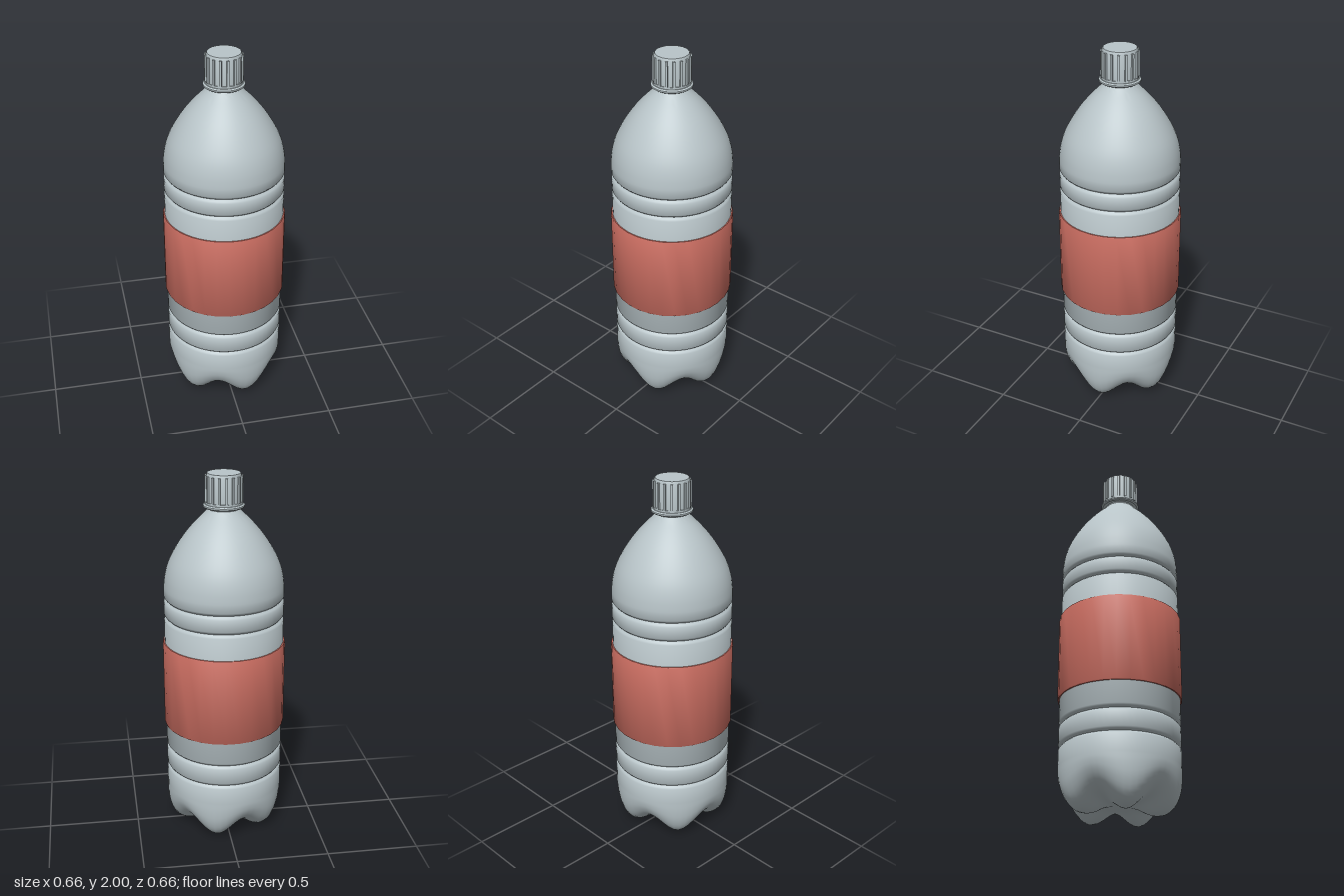
import * as THREE from 'three';
import { toCreasedNormals } from 'three/addons/utils/BufferGeometryUtils.js';

const plastic = new THREE.MeshStandardMaterial({ color: 0xb9c5c9 });
plastic.name = 'clear grey plastic';
const red = new THREE.MeshStandardMaterial({ color: 0xc86c60 });
red.name = 'red label';

const pts = (list) => list.map(([r, y]) => new THREE.Vector2(r, y));
const curve = (list, n) => new THREE.SplineCurve(pts(list)).getPoints(n);

function mesh(name, geometry, material) {
  const m = new THREE.Mesh(geometry, material);
  m.name = name;
  return m;
}

// Lathe with one vertex column on +x and sharp edges where the profile turns hard
function turned(name, profile, sides, material) {
  const g = new THREE.LatheGeometry(profile, sides, Math.PI / 2);
  return mesh(name, toCreasedNormals(g, 0.6), material);
}

// Five-footed base blended into a grooved cylinder and a domed shoulder
function bottleBody() {
  const R = 0.32, steps = 26, sides = 60;
  const foot = curve([[0, 0.06], [0.08, 0.045], [0.14, 0.014], [0.19, 0.002], [0.24, 0.012],
    [0.285, 0.055], [0.311, 0.12], [R, 0.19], [R, 0.25]], steps);
  const valley = curve([[0, 0.06], [0.07, 0.055], [0.13, 0.055], [0.19, 0.072], [0.24, 0.098],
    [0.28, 0.135], [0.307, 0.18], [0.318, 0.22], [R, 0.25]], steps);

  const wall = [];
  for (const y of [0.36, 0.48, 1.235, 1.335]) {
    wall.push([R, y - 0.018], [0.314, y - 0.009], [0.304, y], [0.314, y + 0.009], [R, y + 0.018]);
  }
  const shoulder = curve([[R, 1.4], [0.313, 1.46], [0.293, 1.53], [0.255, 1.605], [0.205, 1.68],
    [0.15, 1.745], [0.105, 1.79], [0.082, 1.815]], 20);
  const profile = [...foot, ...pts(wall), ...shoulder, new THREE.Vector2(0.08, 1.86)];

  const g = new THREE.LatheGeometry(profile, sides, Math.PI / 2);
  const p = g.attributes.position;
  for (let i = 0; i <= sides; i++) {
    const a = (i / sides) * Math.PI * 2;
    const w = 0.5 + 0.5 * Math.cos(5 * a);
    for (let j = 0; j <= steps; j++) {
      const q = valley[j].clone().lerp(foot[j], w);
      p.setXYZ(i * profile.length + j, q.x * Math.cos(a), q.y, -q.x * Math.sin(a));
    }
  }
  return mesh('bottleBody', toCreasedNormals(g, 0.6), plastic);
}

// Screw cap with a bevelled top and sixteen grip ribs
function screwCap() {
  const cap = new THREE.Group();
  cap.name = 'screwCap';
  cap.add(turned('capShell', pts([[0, 1.85], [0.092, 1.85], [0.092, 1.985],
    [0.086, 2], [0, 2]]), 24, plastic));
  const ribShape = new THREE.BoxGeometry(0.012, 0.135, 0.01);
  for (let i = 0; i < 16; i++) {
    const a = (i / 16) * Math.PI * 2;
    const rib = mesh('capRib', ribShape, plastic);
    rib.position.set(Math.sin(a) * 0.0945, 1.92, Math.cos(a) * 0.0945);
    rib.rotation.y = a;
    cap.add(rib);
  }
  return cap;
}

export function createModel() {
  const bottle = new THREE.Group();
  bottle.name = 'bottle';
  bottle.add(bottleBody());

  // Wrapped label standing slightly proud of the wall
  bottle.add(turned('label', pts([[0.312, 0.62], [0.327, 0.62], [0.33, 0.626],
    [0.33, 1.09], [0.327, 1.096], [0.312, 1.096]]), 30, red));

  // Neck flange and the tamper ring above it
  bottle.add(turned('neckFlange', pts([[0.078, 1.822], [0.1, 1.822], [0.108, 1.828],
    [0.108, 1.836], [0.1, 1.842], [0.078, 1.842]]), 30, plastic));
  bottle.add(turned('tamperRing', pts([[0.078, 1.842], [0.096, 1.842], [0.096, 1.853],
    [0.078, 1.853]]), 30, plastic));

  bottle.add(screwCap());
  return bottle;
}
